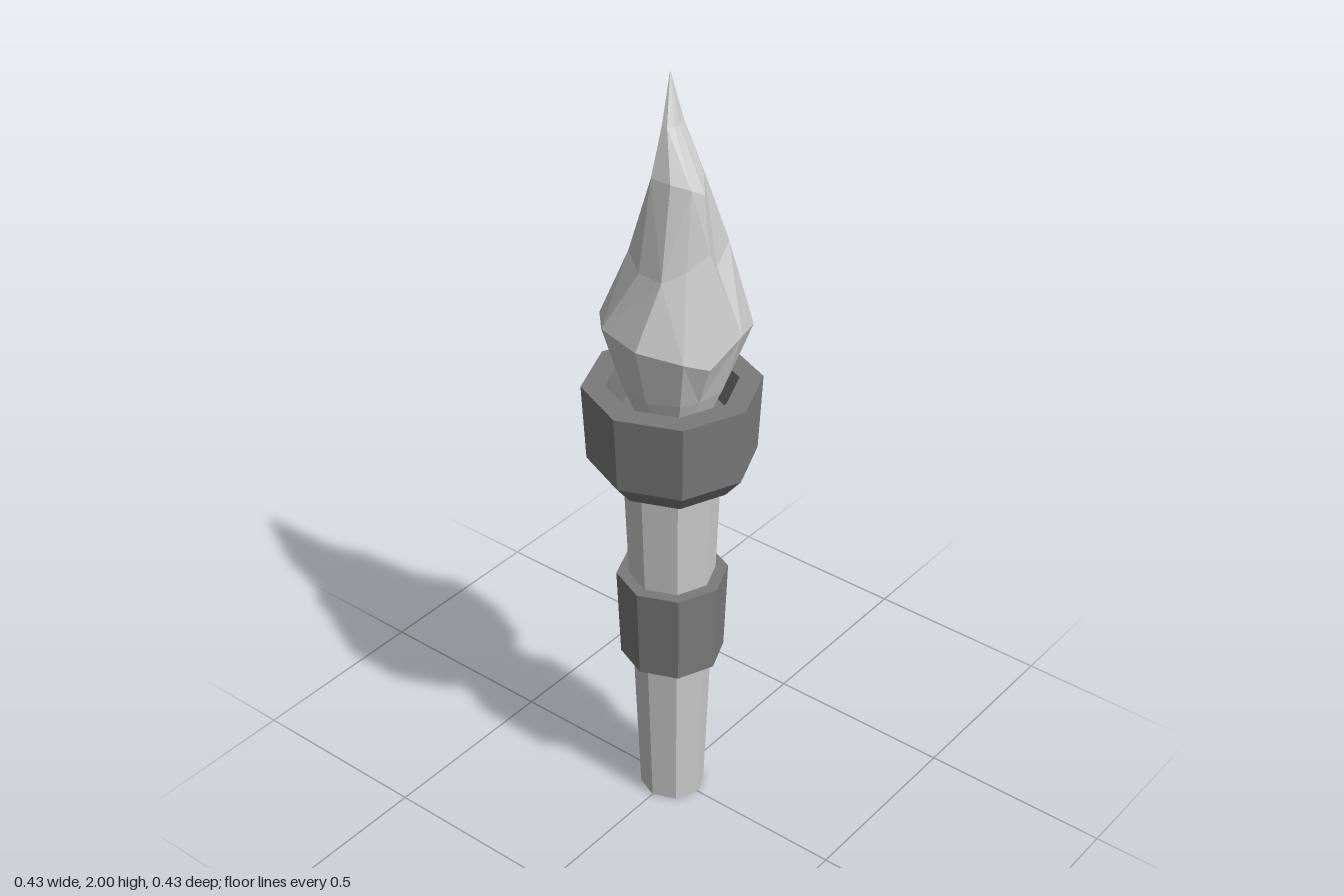
import * as THREE from 'three';

const SIDES = 8;
const light = new THREE.MeshStandardMaterial({ color: 0xcccccc, flatShading: true });
const dark = new THREE.MeshStandardMaterial({ color: 0x7a7a7a, flatShading: true });

// Octagonal solid turned from a [radius, y] profile, listed bottom to top along the outside
function turned(name, profile, material) {
  const points = profile.map(([r, y]) => new THREE.Vector2(r, y));
  const mesh = new THREE.Mesh(new THREE.LatheGeometry(points, SIDES), material);
  mesh.name = name;
  return mesh;
}

// Outline of the flame at its widest, as [x, z] from +x towards +z
const belly = [[.165, 0], [.155, .12], [.05, .165], [-.05, .15], [-.11, .12],
  [-.16, .02], [-.125, -.11], [-.055, -.175], [.055, -.178], [.14, -.09]];
const middle = [[.125, -.01], [.115, .075], [.05, .09], [0, .108], [-.05, .08],
  [-.09, .04], [-.085, -.03], [-.03, -.105], [.05, -.1], [.1, -.06]];
const neck = [[.078, 0], [.07, .04], [.05, .05], [.01, .085], [-.02, .07],
  [-.045, .03], [-.045, -.025], [-.01, -.045], [.04, -.042], [.075, -.03]];
const wisp = [[.065, -.025], [.06, -.015], [.05, -.01], [.03, -.005], [.015, -.005],
  [0, -.015], [0, -.03], [.015, -.04], [.04, -.045], [.06, -.042]];

const scaled = (ring, s) => ring.map(([x, z]) => [x * s, z * s]);

// Faceted flame lofted through uneven rings, closed below and drawn to a tip
function createFlame() {
  const lift = [-.02, -.01, .02, -.03, 0, .02, .02, .01, 0, .05]; // uneven ring heights
  const layers = [
    { y: 1.13, ring: scaled(belly, .45), wave: 0 },
    { y: 1.24, ring: scaled(belly, .72), wave: 0 },
    { y: 1.38, ring: belly, wave: 1 },
    { y: 1.58, ring: middle, wave: -1.2 },
    { y: 1.77, ring: neck, wave: .6 },
    { y: 1.89, ring: wisp, wave: 0 },
  ];
  const n = belly.length;
  const positions = [];
  const index = [];
  layers.forEach(({ y, ring, wave }) => {
    ring.forEach(([x, z], i) => positions.push(x, y + wave * lift[i], z));
  });
  const tip = positions.length / 3;
  positions.push(.055, 2, -.05);
  const base = tip + 1;
  positions.push(0, 1.13, 0);

  const top = (layers.length - 1) * n;
  for (let i = 0; i < n; i++) {
    const j = (i + 1) % n;
    for (let k = 0; k < layers.length - 1; k++) {
      const a = k * n + i, b = k * n + j, c = a + n, d = b + n;
      // Alternate the diagonals for a chipped look
      if ((i + k) % 2) index.push(a, c, b, b, c, d);
      else index.push(a, c, d, a, d, b);
    }
    index.push(top + i, tip, top + j);
    index.push(base, i, j);
  }
  const geometry = new THREE.BufferGeometry();
  geometry.setAttribute('position', new THREE.Float32BufferAttribute(positions, 3));
  geometry.setIndex(index);
  geometry.computeVertexNormals();
  const mesh = new THREE.Mesh(geometry, light);
  mesh.name = 'flame';
  return mesh;
}

export function createModel() {
  const torch = new THREE.Group();
  torch.name = 'torch';
  torch.add(
    turned('handle', [[0, 0], [.083, 0], [.12, 1], [0, 1]], light),
    turned('gripBand', [[0, .445], [.131, .445], [.14, .69], [0, .69]], dark),
    // Hollow cup with a thick rim
    turned('cup', [[0, .985], [.162, .985], [.207, 1.04], [.217, 1.24],
      [.16, 1.24], [.145, 1.14], [0, 1.14]], dark),
    createFlame(),
  );
  return torch;
}
